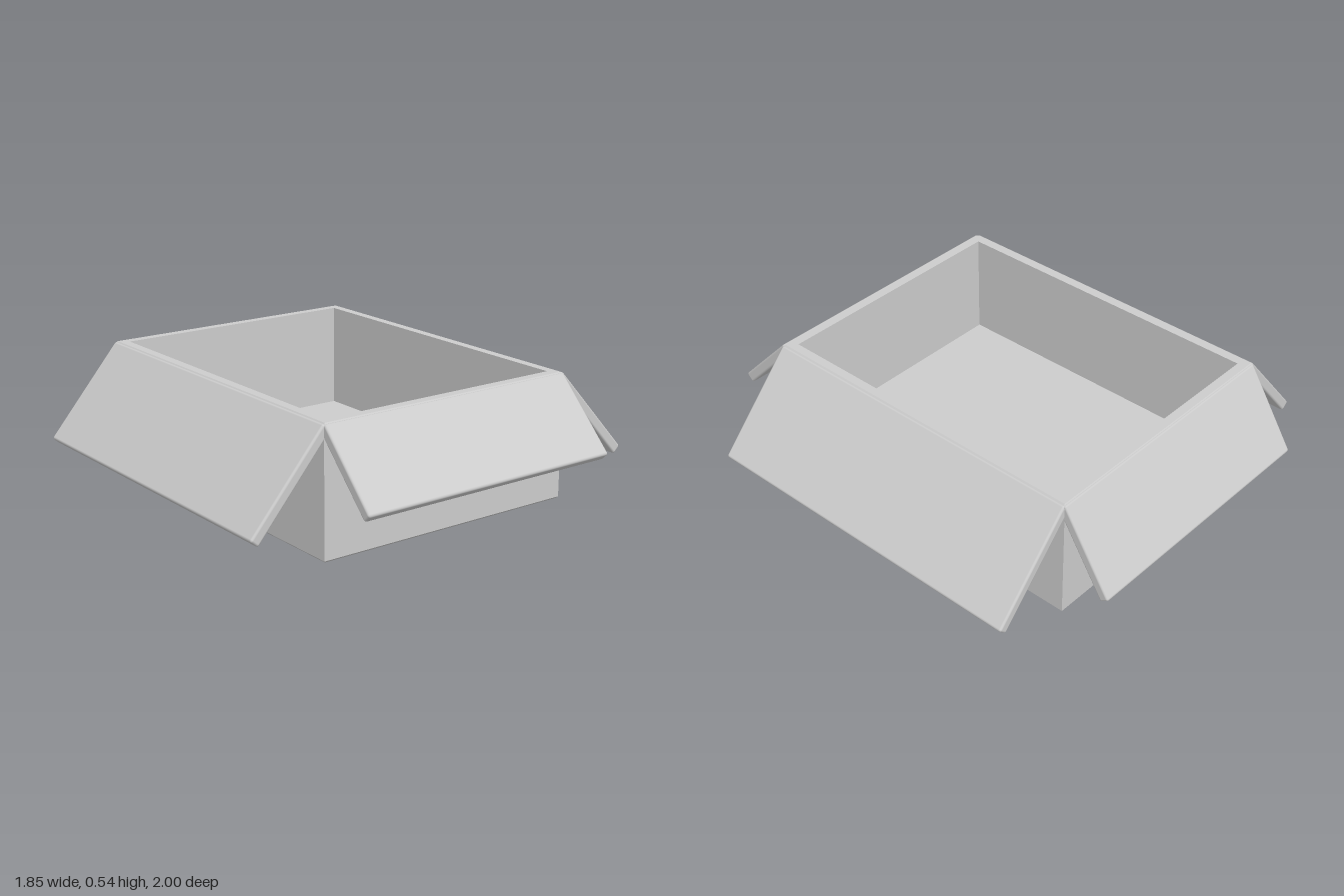
import * as THREE from 'three';
import { RoundedBoxGeometry } from 'three/addons/geometries/RoundedBoxGeometry.js';

const X0 = -0.61, X1 = 0.575, Z0 = -0.785, Z1 = 0.735; // outer walls
const TOP = 0.535, FLOOR = 0.08, WALL = 0.046, BEVEL = 0.008;

const material = new THREE.MeshStandardMaterial({ color: 0xcccccc, flatShading: true });

// Hollow box skinned over rectangular rings: underside, outer walls, rim, inner walls, floor
function boxGeometry() {
  const rings = [
    [null, 0], [BEVEL, 0], [0, BEVEL], [0, TOP - BEVEL], [BEVEL, TOP],
    [WALL, TOP], [WALL, FLOOR], [null, FLOOR],
  ];
  const cx = (X0 + X1) / 2, cz = (Z0 + Z1) / 2;
  const corners = [[-1, -1], [-1, 1], [1, 1], [1, -1]];
  const positions = [], indices = [];
  for (const [inset, y] of rings) {
    for (const [sx, sz] of corners) {
      const hx = inset === null ? 0 : (X1 - X0) / 2 - inset;
      const hz = inset === null ? 0 : (Z1 - Z0) / 2 - inset;
      positions.push(cx + sx * hx, y, cz + sz * hz);
    }
  }
  for (let r = 0; r < rings.length - 1; r++) {
    for (let c = 0; c < 4; c++) {
      const a = r * 4 + c, b = r * 4 + (c + 1) % 4;
      // the collapsed end rings need one triangle per side
      if (r > 0) indices.push(a, b, b + 4);
      if (r === 0) indices.push(a, b + 4, a + 4);
      else if (r < rings.length - 2) indices.push(a, b + 4, a + 4);
    }
  }
  const indexed = new THREE.BufferGeometry();
  indexed.setAttribute('position', new THREE.Float32BufferAttribute(positions, 3));
  indexed.setIndex(indices);
  const geometry = indexed.toNonIndexed();
  geometry.computeVertexNormals();
  return geometry;
}

// Open flap: a slab whose upper face runs from the rim outwards and down to its tip
function flap(name, width, reach, tipY, yaw, hinge) {
  const thickness = 0.045;
  const drop = TOP - tipY;
  const length = Math.hypot(reach, drop);
  const geometry = new RoundedBoxGeometry(length, thickness, width, 2, 0.01);
  geometry.translate(length / 2, -thickness / 2, 0);
  geometry.rotateZ(-Math.atan2(drop, reach));
  const mesh = new THREE.Mesh(geometry, new THREE.MeshStandardMaterial({ color: 0xcccccc }));
  mesh.name = name;
  mesh.position.set(hinge[0], TOP, hinge[1]);
  mesh.rotation.y = yaw;
  return mesh;
}

export function createModel() {
  const group = new THREE.Group();
  group.name = 'openBox';

  const box = new THREE.Mesh(boxGeometry(), material);
  box.name = 'boxBody';
  group.add(box);

  const midX = (X0 + X1) / 2, midZ = (Z0 + Z1) / 2;
  const w = X1 - X0, d = Z1 - Z0;
  group.add(
    flap('leftFlap', d, 0.352, 0.158, 0, [X1, midZ]),
    flap('rightFlap', d, 0.322, 0.158, Math.PI, [X0, midZ]),
    flap('frontFlap', w, 0.267, 0.26, -Math.PI / 2, [midX, Z1]),
    flap('backFlap', w, 0.217, 0.196, Math.PI / 2, [midX, Z0]),
  );
  return group;
}
